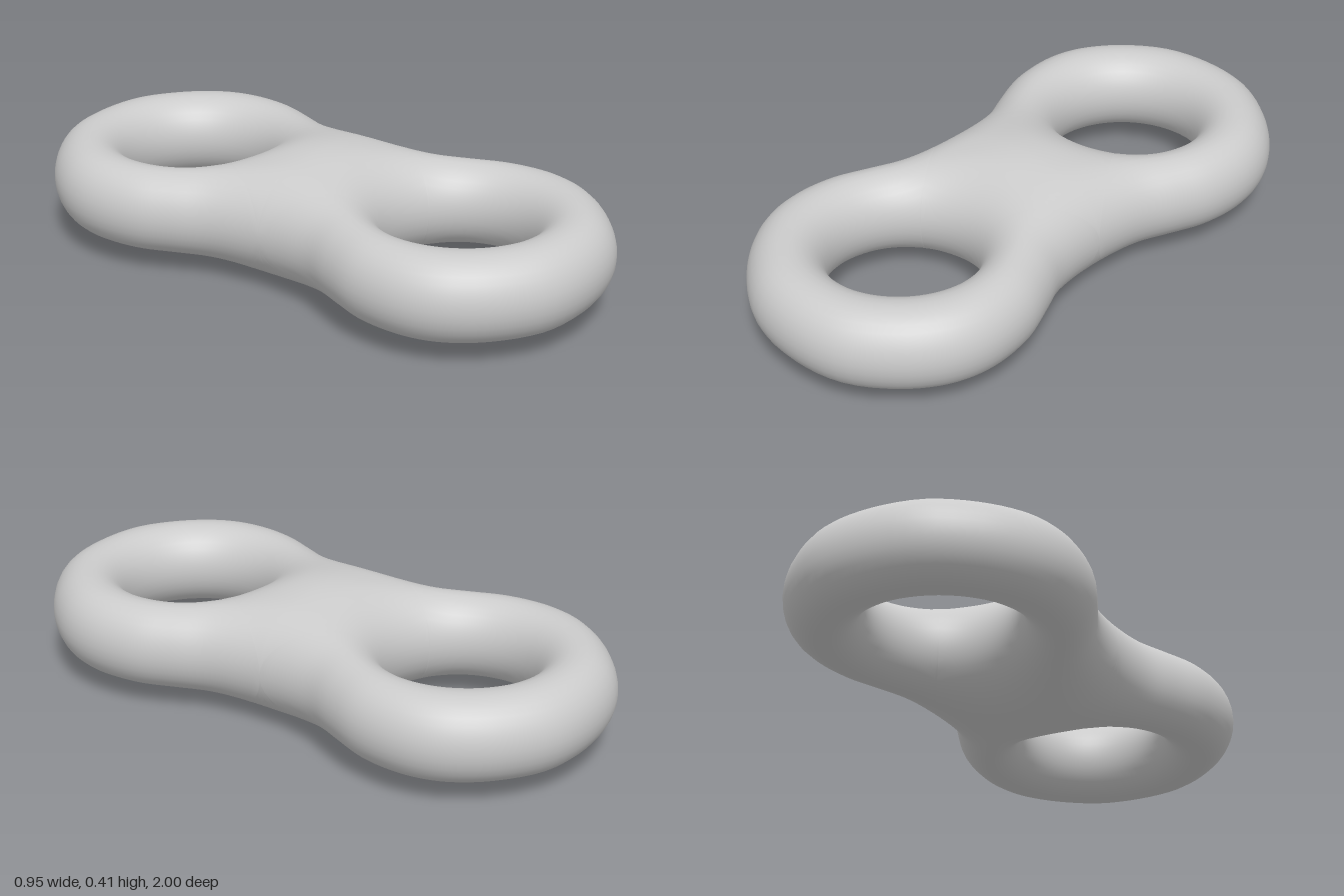
import * as THREE from 'three';
import { mergeVertices } from 'three/addons/utils/BufferGeometryUtils.js';

const MID_Y = 0.205, HOLE_Z = 0.52, HOLE_R = 0.235;
const RING_STEPS = 16; // steps from hole rim to outline

// Quarter outline [x, z], from the waist to the end, mirrored to a closed figure eight
const QUARTER = [[0.34, 0], [0.346, 0.1], [0.366, 0.2], [0.41, 0.3], [0.458, 0.42], [0.475, 0.55],
  [0.462, 0.66], [0.42, 0.76], [0.33, 0.87], [0.18, 0.97], [0, 1]];

function halfOutline() {
  const q = QUARTER.map(([x, z]) => new THREE.Vector2(x, z));
  const flip = (list, sx, sz) => list.map(p => new THREE.Vector2(p.x * sx, p.y * sz));
  const half = [...q, ...flip(q.slice(0, -1).reverse(), -1, 1)];
  const all = [...half, ...flip(half.slice(1, -1).reverse(), 1, -1)];
  const curve = new THREE.CatmullRomCurve3(all.map(p => new THREE.Vector3(p.x, 0, p.y)), true);
  return curve.getPoints(all.length * 4).slice(0, all.length * 2 + 1)
    .map(p => new THREE.Vector2(p.x, Math.abs(p.z) < 1e-6 ? 0 : p.z));
}

// Shortest distance from a point to the outline
function outlineDistance(p, line) {
  let best = Infinity;
  const ab = new THREE.Vector2(), ap = new THREE.Vector2();
  for (let i = 0; i + 1 < line.length; i++) {
    ab.subVectors(line[i + 1], line[i]);
    ap.subVectors(p, line[i]);
    const t = THREE.MathUtils.clamp(ap.dot(ab) / ab.lengthSq(), 0, 1);
    best = Math.min(best, ap.addScaledVector(ab, -t).length());
  }
  return best;
}

// Quarter-round edge: 0 at the rim, 1 once past the rounding
function rounded(s) {
  return s < 1e-5 ? 0 : Math.sqrt(1 - (1 - Math.min(s, 1)) ** 2);
}

// Half thickness: round rings that swell into a dome at the centre
function halfThickness(p, line) {
  const dome = Math.exp(-((p.x / 0.3) ** 2) - (p.y / 0.25) ** 2);
  const fromHole = Math.hypot(p.x, p.y - HOLE_Z) - HOLE_R;
  return (0.14 + 0.065 * dome)
    * rounded(fromHole / (0.12 + 0.1 * dome))
    * rounded(outlineDistance(p, line) / (0.12 + 0.08 * dome));
}

function doubleRingGeometry() {
  const line = halfOutline();
  // Rays from the hole end on the outline, then along the seam between the halves
  const targets = [...line];
  const waist = QUARTER[0][0], seam = 32;
  for (let i = 1; i < seam; i++) {
    targets.push(new THREE.Vector2(-waist * Math.cos(Math.PI * i / seam), 0));
  }
  const centre = new THREE.Vector2(0, HOLE_Z);
  const grid = targets.map(target => {
    const rim = target.clone().sub(centre).setLength(HOLE_R).add(centre);
    return Array.from({ length: RING_STEPS + 1 }, (_, j) => {
      const p = rim.clone().lerp(target, (1 - Math.cos(Math.PI * j / RING_STEPS)) / 2);
      return [p.x, halfThickness(p, line), p.y];
    });
  });

  // Mirror the quarter skin to top and bottom, front and back
  const positions = [];
  for (const sy of [1, -1]) for (const sz of [1, -1]) {
    const add = (...corners) => {
      if (sy * sz < 0) corners.reverse();
      for (const [x, y, z] of corners) positions.push(x, MID_Y + sy * y, sz * z);
    };
    grid.forEach((ray, i) => {
      const next = grid[(i + 1) % grid.length];
      for (let j = 0; j < RING_STEPS; j++) {
        add(ray[j], next[j], next[j + 1]);
        add(ray[j], next[j + 1], ray[j + 1]);
      }
    });
  }
  const soup = new THREE.BufferGeometry();
  soup.setAttribute('position', new THREE.Float32BufferAttribute(positions, 3));
  const geometry = mergeVertices(soup, 1e-4);
  geometry.computeVertexNormals();
  return geometry;
}

export function createModel() {
  const group = new THREE.Group();
  group.name = 'doubleTorus';
  const body = new THREE.Mesh(doubleRingGeometry(), new THREE.MeshStandardMaterial({ color: 0xcccccc }));
  body.name = 'doubleRingBody';
  group.add(body);
  return group;
}
